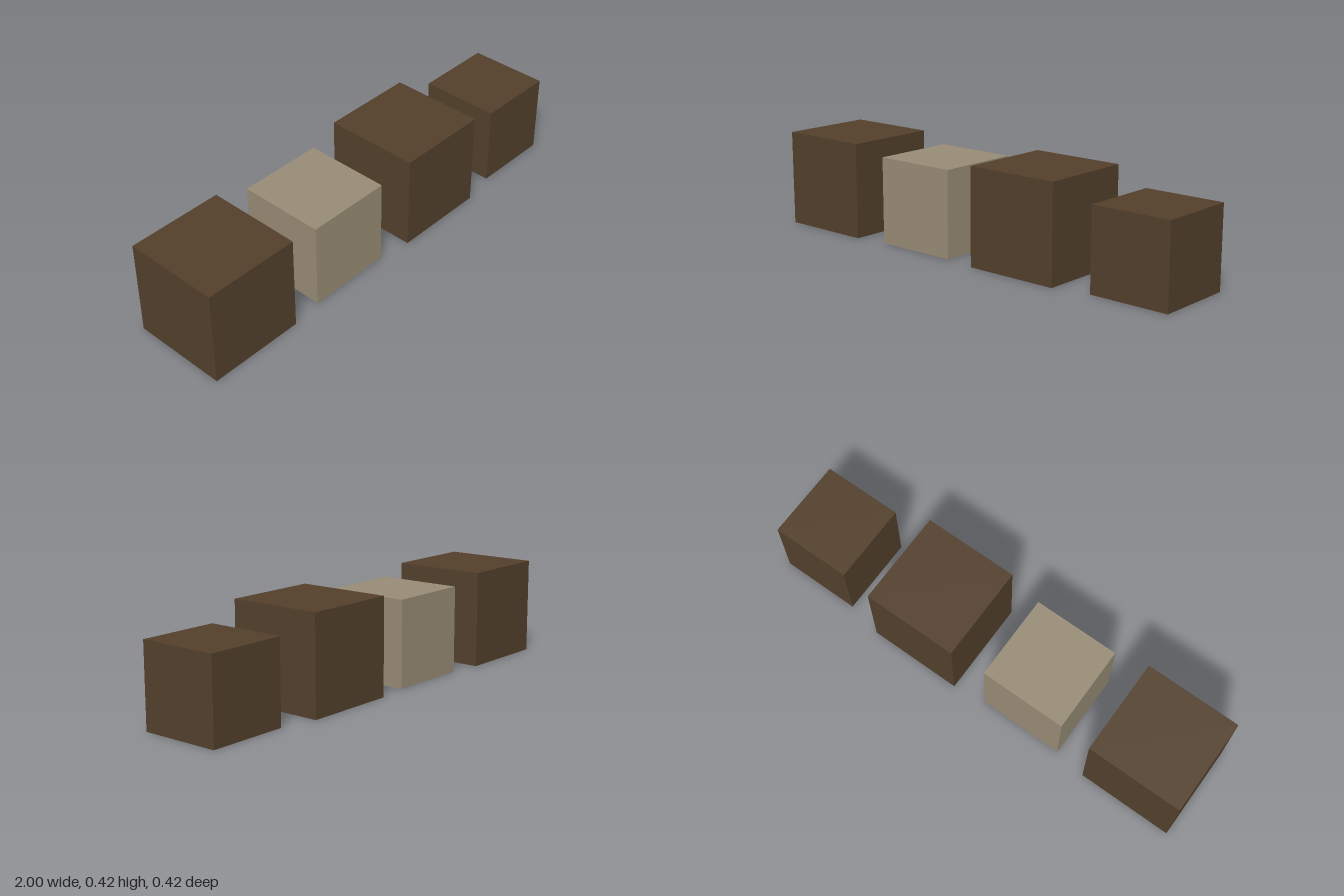
import * as THREE from 'three';

export function createModel() {
  const group = new THREE.Group();
  group.name = 'blockRow';

  const darkWood = new THREE.MeshStandardMaterial({ color: 0x53402c });
  darkWood.name = 'dark wood';
  const paleWood = new THREE.MeshStandardMaterial({ color: 0x988c75 });
  paleWood.name = 'pale wood';

  // Cubes standing on the ground: name, centre x, edge length, material
  const blocks = [
    ['firstLargeBlock', -0.792, 0.416, darkWood],
    ['paleBlock', -0.255, 0.375, paleWood],
    ['secondLargeBlock', 0.285, 0.416, darkWood],
    ['smallBlock', 0.8255, 0.349, darkWood],
  ];
  for (const [name, x, size, material] of blocks) {
    const block = new THREE.Mesh(new THREE.BoxGeometry(size, size, size), material);
    block.name = name;
    block.position.set(x, size / 2, 0);
    group.add(block);
  }
  return group;
}
